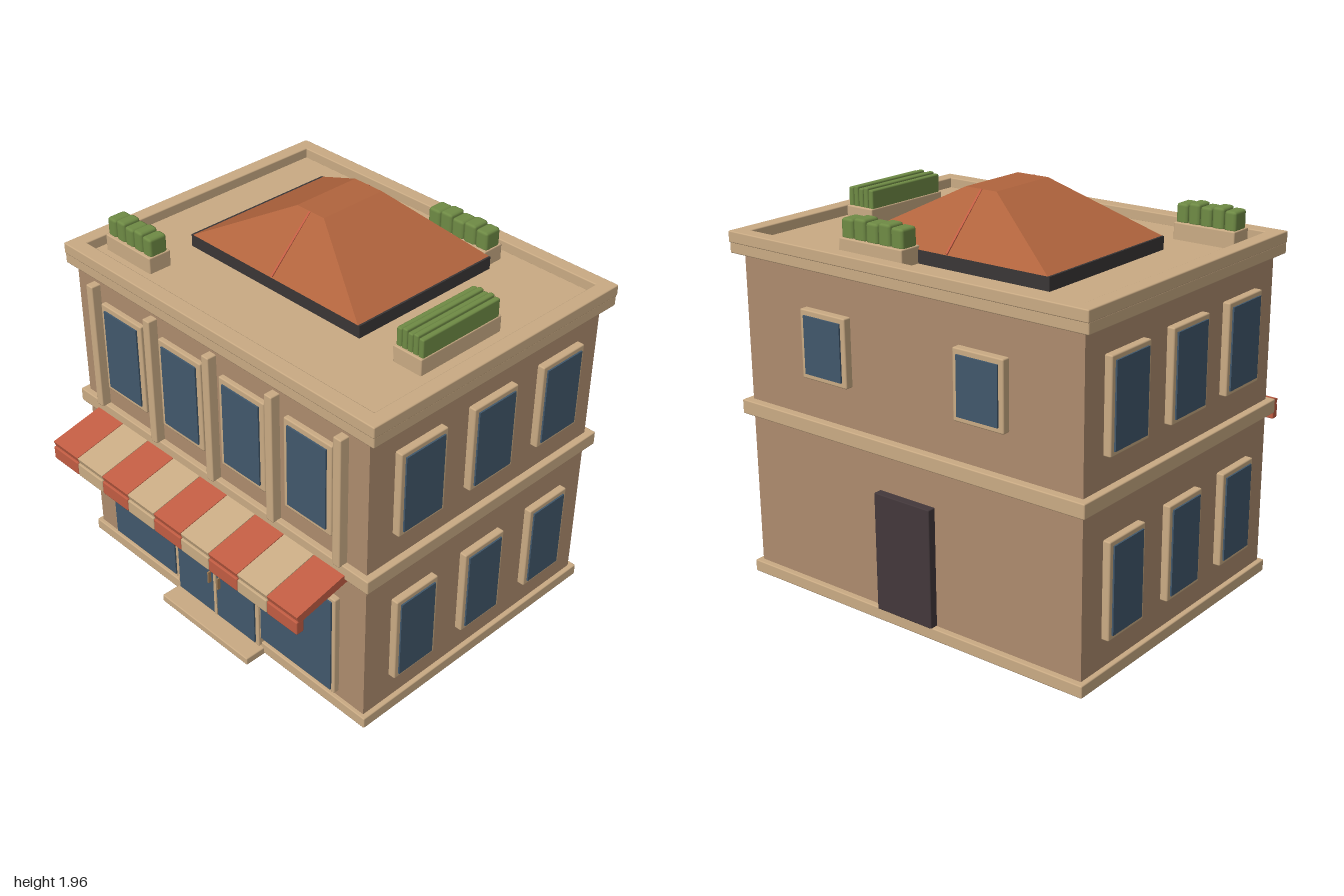
import * as THREE from 'three';
import { RoundedBoxGeometry } from 'three/addons/geometries/RoundedBoxGeometry.js';

function material(name, color, side = THREE.FrontSide) {
  const m = new THREE.MeshStandardMaterial({ color, side });
  m.name = name;
  return m;
}

export function createModel() {
  const wall = material('wall', 0xae8c6e);
  const trim = material('trim', 0xcaab84);
  const glass = material('glass', 0x41586c);
  const roofTile = material('roofTile', 0xb1643d);
  const red = material('awningRed', 0xc25d43);
  const cream = material('awningCream', 0xcaac84);
  const leaf = material('leaf', 0x6f8b45);
  const darkDoor = material('darkDoor', 0x43383b);
  const slate = material('slate', 0x3a3636);
  const brass = material('brass', 0xa07c55);

  const model = new THREE.Group();
  model.name = 'shopBuilding';

  // Box given by its limits; a radius above 0 bevels the edges
  function box(name, mat, [x0, x1], [y0, y1], [z0, z1], radius = 0, parent = model) {
    const w = x1 - x0, h = y1 - y0, d = z1 - z0;
    const geo = radius > 0
      ? new RoundedBoxGeometry(w, h, d, 1, radius)
      : new THREE.BoxGeometry(w, h, d);
    const mesh = new THREE.Mesh(geo, mat);
    mesh.name = name;
    mesh.position.set((x0 + x1) / 2, (y0 + y1) / 2, (z0 + z1) / 2);
    parent.add(mesh);
    return mesh;
  }

  // Framed window facing +z with its back on z = 0, then turned to its wall
  function framedWindow(name, x, z, turn, [y0, y1], w, border, depth) {
    const g = new THREE.Group();
    g.name = name;
    const hw = w / 2;
    box('windowFrame', trim, [-hw, hw], [y0, y1], [-0.01, depth], 0.007, g);
    box('windowGlass', glass, [-hw + border, hw - border],
      [y0 + border, y1 - border], [depth - 0.001, depth + 0.008], 0, g);
    g.position.set(x, 0, z);
    g.rotation.y = turn;
    model.add(g);
  }

  // Main body and horizontal bands
  box('walls', wall, [-0.95, 0.95], [0.03, 1.62], [-0.86, 0.6]);
  box('plinth', trim, [-0.975, 0.975], [0.006, 0.065], [-0.89, 0.62], 0.006);
  box('frontStep', trim, [-0.31, 0.31], [0, 0.04], [0.55, 0.73], 0.006);
  box('middleBand', trim, [-0.985, 0.985], [0.825, 0.895], [-0.9, 0.63], 0.006);
  box('lowerCornice', trim, [-0.998, 0.998], [1.6, 1.655], [-0.905, 0.63], 0.006);

  // Parapet ring around the sunken roof deck
  for (const s of [-1, 1]) {
    const xs = s < 0 ? [-1, -0.925] : [0.925, 1];
    box('sideParapet', trim, xs, [1.65, 1.705], [-0.91, 0.633], 0.006);
  }
  box('frontParapet', trim, [-0.99, 0.99], [1.65, 1.705], [0.555, 0.633], 0.006);
  box('backParapet', trim, [-0.99, 0.99], [1.65, 1.705], [-0.91, -0.84], 0.006);

  // Front: upper windows and pilasters
  for (const x of [-0.615, -0.205, 0.205, 0.615])
    framedWindow('upperFrontWindow', x, 0.6, 0, [1.005, 1.48], 0.29, 0.028, 0.025);
  for (const x of [-0.81, -0.4, 0, 0.4, 0.81])
    box('pilaster', trim, [x - 0.023, x + 0.023], [0.89, 1.56], [0.59, 0.648], 0.006);

  // Sides: three windows on each floor
  for (const s of [-1, 1]) {
    for (const z of [0.31, -0.135, -0.585]) {
      framedWindow('lowerSideWindow', s * 0.95, z, s * Math.PI / 2, [0.2, 0.66], 0.262, 0.023, 0.036);
      framedWindow('upperSideWindow', s * 0.95, z, s * Math.PI / 2, [1.035, 1.47], 0.28, 0.023, 0.036);
    }
  }

  // Back: two small windows and a service door
  for (const x of [-0.44, 0.44])
    framedWindow('backWindow', x, -0.86, Math.PI, [1.09, 1.415], 0.27, 0.026, 0.038);
  box('backDoor', darkDoor, [-0.16, 0.16], [0.065, 0.64], [-0.9, -0.85], 0.005);

  // Shop front: display windows and double door
  for (const s of [-1, 1])
    framedWindow('displayWindow', s * 0.543, 0.6, 0, [0.1, 0.665], 0.5, 0.018, 0.03);
  box('doorFrame', trim, [-0.295, 0.295], [0.05, 0.7], [0.59, 0.637], 0.006);
  for (const s of [-1, 1]) {
    const mid = s * 0.141;
    box('doorLeaf', glass, [mid - 0.132, mid + 0.132], [0.067, 0.68], [0.636, 0.645]);
    box('doorHandle', brass, [s * 0.033 - 0.004, s * 0.033 + 0.004], [0.255, 0.32], [0.643, 0.662]);
  }
  box('doorMullion', trim, [-0.009, 0.009], [0.067, 0.68], [0.63, 0.65]);

  // Striped awning: sloping slabs with a hanging valance
  const awning = new THREE.Group();
  awning.name = 'awning';
  model.add(awning);
  const profile = new THREE.Shape([
    [0.595, 0.81], [0.895, 0.745], [0.908, 0.785], [0.625, 0.85], [0.595, 0.85],
  ].map(([z, y]) => new THREE.Vector2(z, y)));
  const stripe = 1.7 / 9;
  for (let i = 0; i < 9; i++) {
    const x0 = -0.85 + i * stripe, x1 = x0 + stripe;
    const mat = i % 2 ? cream : red;
    const geo = new THREE.ExtrudeGeometry(profile, { depth: stripe - 0.003, bevelEnabled: false });
    geo.rotateY(-Math.PI / 2);
    const slab = new THREE.Mesh(geo, mat);
    slab.name = 'awningStripe';
    slab.position.x = x1 - 0.0015;
    awning.add(slab);
    box('awningValance', mat, [x0 + 0.001, x1 - 0.001], [0.687, 0.757], [0.868, 0.91], 0.006, awning);
  }

  // Hipped roof: a box whose top is drawn in to a small flat
  box('roofBase', slate, [-0.635, 0.46], [1.645, 1.717], [-0.67, 0.17]);
  const hip = new THREE.BoxGeometry(1, 1, 1);
  const p = hip.attributes.position;
  for (let i = 0; i < p.count; i++) {
    const top = p.getY(i) > 0;
    const x = p.getX(i) * (top ? 0.17 : 1.075);
    const z = p.getZ(i) * (top ? 0.365 : 0.84);
    p.setXYZ(i, x - 0.087, top ? 1.96 : 1.717, z - 0.25);
  }
  hip.computeVertexNormals();
  const hipRoof = new THREE.Mesh(hip, roofTile);
  hipRoof.name = 'hippedRoof';
  model.add(hipRoof);
  for (const s of [-1, 1]) {
    const seam = new THREE.Mesh(new THREE.BoxGeometry(0.01, 0.008, 0.335), red);
    seam.name = 'roofSeam';
    seam.position.set(-0.09, 1.84, -0.25 + s * 0.3);
    seam.rotation.x = s * Math.PI / 4;
    model.add(seam);
  }

  // Roof planters, each with five clipped shrubs side by side in x
  function planter([x0, x1], [z0, z1]) {
    const g = new THREE.Group();
    g.name = 'planter';
    model.add(g);
    box('planterBox', trim, [x0, x1], [1.645, 1.735], [z0, z1], 0.006, g);
    const step = (x1 - x0 - 0.006) / 5;
    for (let i = 0; i < 5; i++) {
      const a = x0 + 0.003 + i * step;
      box('shrub', leaf, [a + 0.001, a + step - 0.001], [1.725, i % 2 ? 1.83 : 1.822],
        [z0 + 0.012, z1 - 0.012], Math.min(0.014, step * 0.25), g);
    }
  }
  planter([-0.885, -0.567], [0.353, 0.475]);
  planter([0.07, 0.437], [-0.775, -0.657]);
  planter([0.675, 0.835], [-0.31, 0.19]);

  return model;
}
